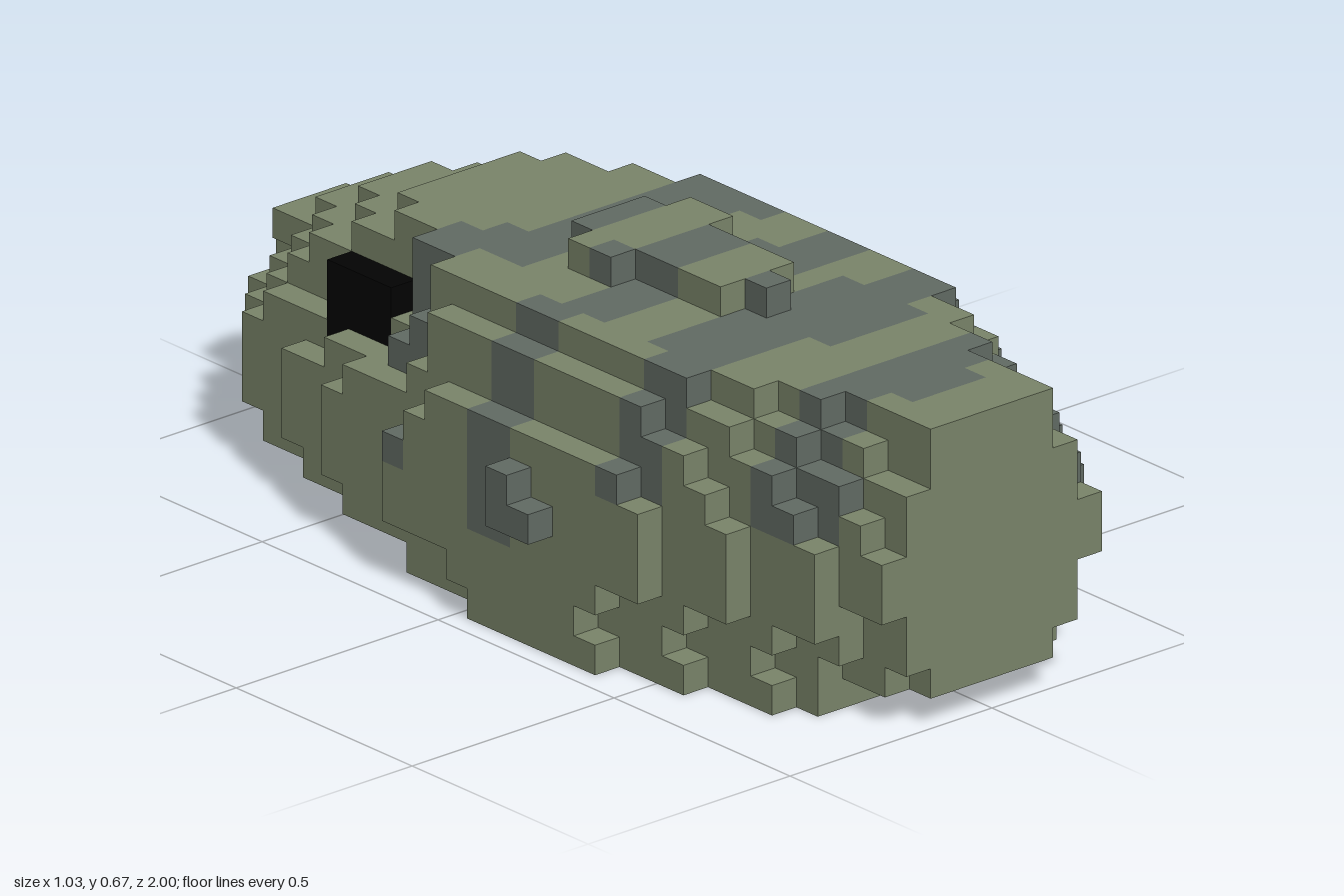
import * as THREE from 'three';
import { mergeGeometries } from 'three/addons/utils/BufferGeometryUtils.js';

const V = 2 / 33; // edge of one block

// Half-width (in blocks either side of the middle) per row, from tail to front
const HALF = [0, 2, 3, 4, 4, 4, 5, 5, 5, 6, 6, 6, 6, 7, 7, 7, 7, 7, 7, 7, 7, 7, 7, 7, 7,
  6, 6, 6, 5, 5, 5, 4, 4, 3, 3, 2, 2, 2, 2];

// Layers from the bottom up: first row, last row, shift at tail, shift at front, widest, narrowest
const LAYERS = [
  [12, 29, 4, 2, 7, 4],
  [2, 32, 1, 3, 7, 2],
  [1, 32, 0, 2, 7, 2],
  [0, 32, 0, 0, 7, 0],
  [0, 32, 0, 0, 7, 0],
  [0, 32, 1, 0, 7, 0],
  [1, 32, 2, 1, 7, 1],
  [3, 32, 3, 2, 6, 1],
  [5, 32, 5, 4, 6, 1],
  [8, 32, 7, 6, 5, 2],
];

// Narrower places: layer, first row, last row, widest
const LIMITS = [
  [0, 13, 15, 6], [1, 12, 15, 6], [3, 31, 32, 3], // belly and chin
  [5, 7, 7, 4], [6, 7, 10, 4], [7, 7, 9, 4], [8, 7, 10, 3], // eye sockets
  [6, 5, 6, 3], [7, 5, 6, 3], // dips behind the eyes
  [6, 11, 12, 5], [7, 10, 10, 3], [7, 11, 11, 4], [7, 12, 13, 5], // dips ahead of the eyes
  [8, 11, 12, 4], [9, 10, 10, 3],
];

// Camouflage: row, first column, last column, lowest layer
const CAMO = [
  [11, -5, -3, 5], [12, -5, -2, 4], [13, -7, -7, 4], [13, -3, 5, 7], [14, -3, 7, 5],
  [15, -1, 8, 3], [16, 5, 8, 3],
  [17, -8, -5, 3], [17, -2, -2, 9], [18, -8, 3, 3], [19, -4, 8, 4], [20, 2, 8, 2], [21, 6, 8, 2],
  [22, -4, 3, 9], [23, -8, 8, 6], [24, -8, 8, 6], [24, 5, 8, 2], [25, 5, 8, 2], [25, 0, 3, 9],
  [28, -5, 4, 6], [29, -5, 5, 6], [30, -1, 1, 9], [30, 3, 5, 2], [30, -5, -4, 6], [31, 4, 4, 4],
];

function halfWidth(layer, row) {
  const [first, last, tail, front, widest, narrowest] = LAYERS[layer];
  if (row < first || row > last) return -1;
  const a = HALF[Math.max(0, row - tail)];
  const b = HALF[row + front];
  const w = Math.max(narrowest, Math.min(a, b, widest));
  return LIMITS.reduce((m, [l, from, to, max]) =>
    (l === layer && row >= from && row <= to ? Math.min(m, max) : m), w);
}

const isEye = (x, y, row) => Math.abs(x) === 4 &&
  ((row >= 7 && row <= 9 && (y === 6 || y === 7)) || (row === 7 && y === 5));
const isCamo = (x, y, row) => CAMO.some(([r, a, b, low]) => r === row && x >= a && x <= b && y >= low);

// The six faces of a block: direction and the matching quad
const face = (dir, rx, ry) => ({
  dir,
  quad: new THREE.PlaneGeometry(V, V).rotateX(rx).rotateY(ry).translate(...dir.map((d) => d * V / 2)),
});
const Q = Math.PI / 2;
const FACES = [
  face([0, 0, 1], 0, 0), face([0, 0, -1], 0, 2 * Q),
  face([1, 0, 0], 0, Q), face([-1, 0, 0], 0, -Q),
  face([0, 1, 0], -Q, 0), face([0, -1, 0], Q, 0),
];

export function createModel() {
  const model = new THREE.Group();
  model.name = 'camouflagedCreature';

  const green = new THREE.MeshStandardMaterial({ color: 0x7a856a });
  const grey = new THREE.MeshStandardMaterial({ color: 0x626b64 });
  const black = new THREE.MeshStandardMaterial({ color: 0x030303 });
  const materials = {
    body: green, ridge: green, camouflage: grey, ridgeCamouflage: grey, sideFins: grey, eyes: black,
  };

  const blocks = new Map();
  const key = (x, y, row) => `${x},${y},${row}`;
  const add = (part, x, y, row) => blocks.set(key(x, y, row), { part, x, y, row });

  // Body, with eyes and camouflage picked out; the eyes always fill their sockets
  for (let y = 0; y < LAYERS.length; y++) {
    for (let row = 0; row < 33; row++) {
      const w = isEye(4, y, row) ? 4 : halfWidth(y, row);
      for (let x = -w; x <= w; x++) {
        add(isEye(x, y, row) ? 'eyes' : isCamo(x, y, row) ? 'camouflage' : 'body', x, y, row);
      }
    }
  }

  // Raised ridge on the back
  [1, 2, 2, 1, 1, 1, 1, 0].forEach((w, i) => {
    for (let x = -w; x <= w; x++) {
      add(isCamo(x, 10, 15 + i) ? 'ridgeCamouflage' : 'ridge', x, 10, 15 + i);
    }
  });

  // Small fins on both sides
  for (const side of [-1, 1]) {
    for (const [y, row] of [[4, 19], [5, 19], [4, 20]]) add('sideFins', side * 8, y, row);
  }

  // Collect the exposed faces of each part
  const parts = {};
  for (const { part, x, y, row } of blocks.values()) {
    for (const { dir, quad } of FACES) {
      if (blocks.has(key(x + dir[0], y + dir[1], row + dir[2]))) continue;
      (parts[part] ??= []).push(quad.clone().translate(x * V, (y + 0.5) * V, (row - 16) * V));
    }
  }

  for (const [name, quads] of Object.entries(parts)) {
    const mesh = new THREE.Mesh(mergeGeometries(quads), materials[name]);
    mesh.name = name;
    model.add(mesh);
  }
  return model;
}
